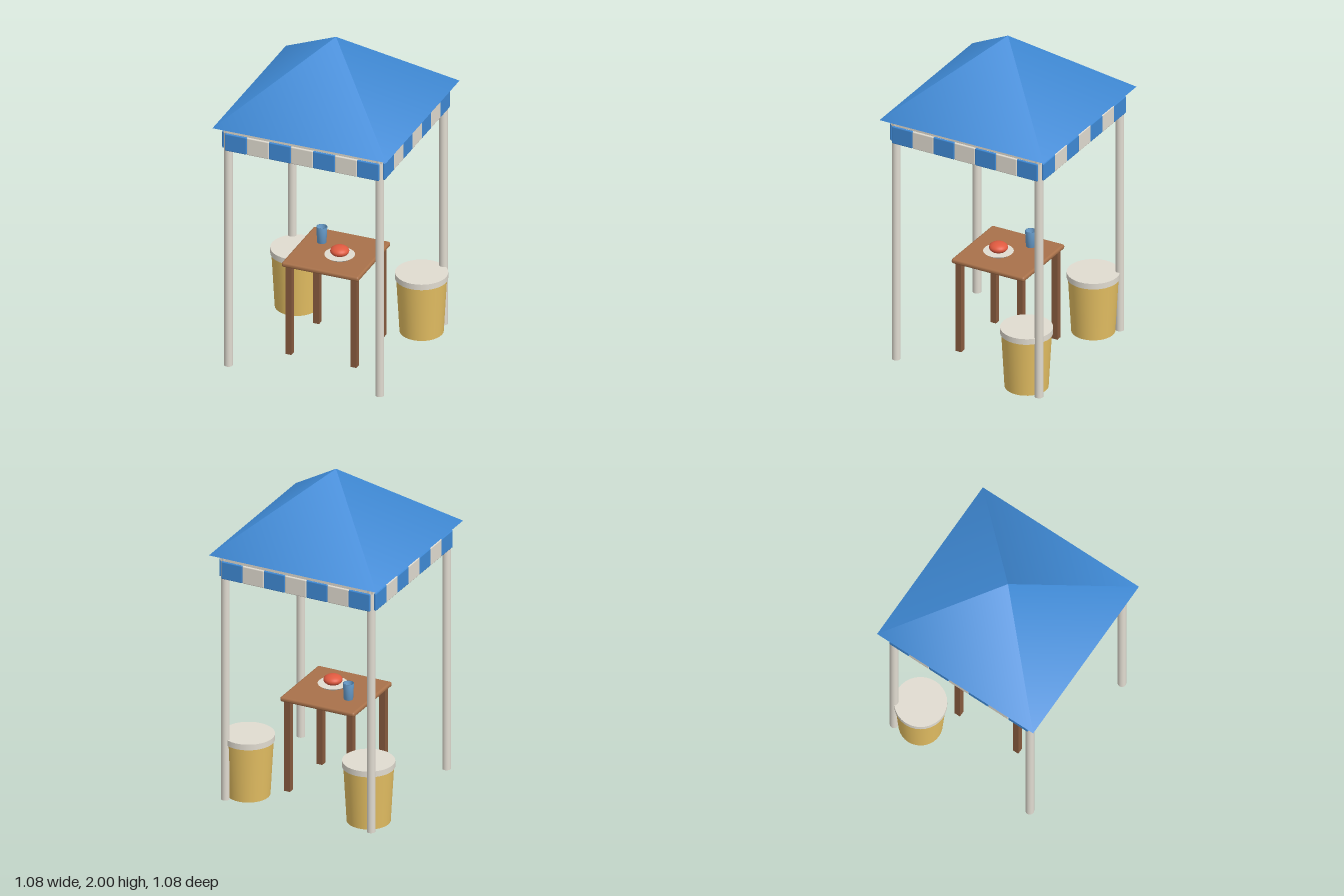
import * as THREE from 'three';
import { RoundedBoxGeometry } from 'three/addons/geometries/RoundedBoxGeometry.js';

const mat = (color, side = THREE.FrontSide) => new THREE.MeshStandardMaterial({ color, side });
const blue = mat(0x3f8ad6), white = mat(0xe0dbd0), wood = mat(0xa8714a), darkWood = mat(0x875a3e);
const straw = mat(0xe3be62), red = mat(0xe05a40), glass = mat(0x6aa0d0, THREE.DoubleSide);

function add(parent, name, geometry, material, x = 0, y = 0, z = 0) {
  const mesh = new THREE.Mesh(geometry, material);
  mesh.name = name;
  mesh.position.set(x, y, z);
  parent.add(mesh);
  return mesh;
}

function group(parent, name, x = 0, y = 0, z = 0) {
  const g = new THREE.Group();
  g.name = name;
  g.position.set(x, y, z);
  parent.add(g);
  return g;
}

const corners = [[-1, -1], [1, -1], [1, 1], [-1, 1]];

function buildCanopy(root) {
  const canopy = group(root, 'canopy');
  // four-sided pyramid roof
  const roof = new THREE.ConeGeometry(0.54 * Math.SQRT2, 0.44, 4).rotateY(Math.PI / 4);
  add(canopy, 'roof', roof, blue, 0, 1.78, 0);

  // corner poles
  const pole = new THREE.CylinderGeometry(0.025, 0.025, 1.56, 20);
  for (const [sx, sz] of corners) add(canopy, 'pole', pole, white, sx * 0.47, 0.78, sz * 0.47);

  // top beam and striped valance on every side
  const beam = new THREE.BoxGeometry(0.985, 0.04, 0.045);
  const width = 0.137;
  const panel = new RoundedBoxGeometry(width, 0.11, 0.015, 2, 0.006);
  for (let s = 0; s < 4; s++) {
    const side = group(canopy, 'canopySide');
    side.rotation.y = s * Math.PI / 2;
    add(side, 'beam', beam, white, 0, 1.538, 0.47);
    for (let i = 0; i < 7; i++) {
      add(side, 'valancePanel', panel, i % 2 ? white : blue, (i - 3) * width, 1.465, 0.4995);
    }
  }
}

function buildTable(root) {
  const table = group(root, 'table');
  add(table, 'tableTop', new RoundedBoxGeometry(0.48, 0.03, 0.48, 3, 0.013), wood, 0, 0.585, 0);
  const leg = new THREE.BoxGeometry(0.037, 0.575, 0.037);
  for (const [sx, sz] of corners) add(table, 'tableLeg', leg, darkWood, sx * 0.202, 0.2875, sz * 0.202);

  // plate with a rounded piece of food
  add(table, 'plate', new THREE.CylinderGeometry(0.088, 0.07, 0.014, 32), white, 0.04, 0.607, 0.04);
  const food = add(table, 'food', new THREE.SphereGeometry(0.055, 28, 18), red, 0.04, 0.637, 0.04);
  food.scale.y = 0.55;

  // open cup
  const profile = [[0, 0], [0.027, 0], [0.032, 0.1], [0.028, 0.1], [0.024, 0.01], [0, 0.01]];
  const cup = new THREE.LatheGeometry(profile.map(([r, y]) => new THREE.Vector2(r, y)), 24);
  add(table, 'cup', cup, glass, -0.122, 0.6, -0.08);
}

function buildBin(root, x) {
  const bin = group(root, 'bin', x, 0, -0.342);
  add(bin, 'binBody', new THREE.CylinderGeometry(0.147, 0.127, 0.36, 32), straw, 0, 0.18, 0);
  add(bin, 'binLid', new THREE.CylinderGeometry(0.153, 0.153, 0.036, 32), white, 0, 0.362, 0);
}

export function createModel() {
  const root = new THREE.Group();
  root.name = 'marketStall';
  buildCanopy(root);
  buildTable(root);
  for (const side of [-1, 1]) buildBin(root, side * 0.388);
  return root;
}
